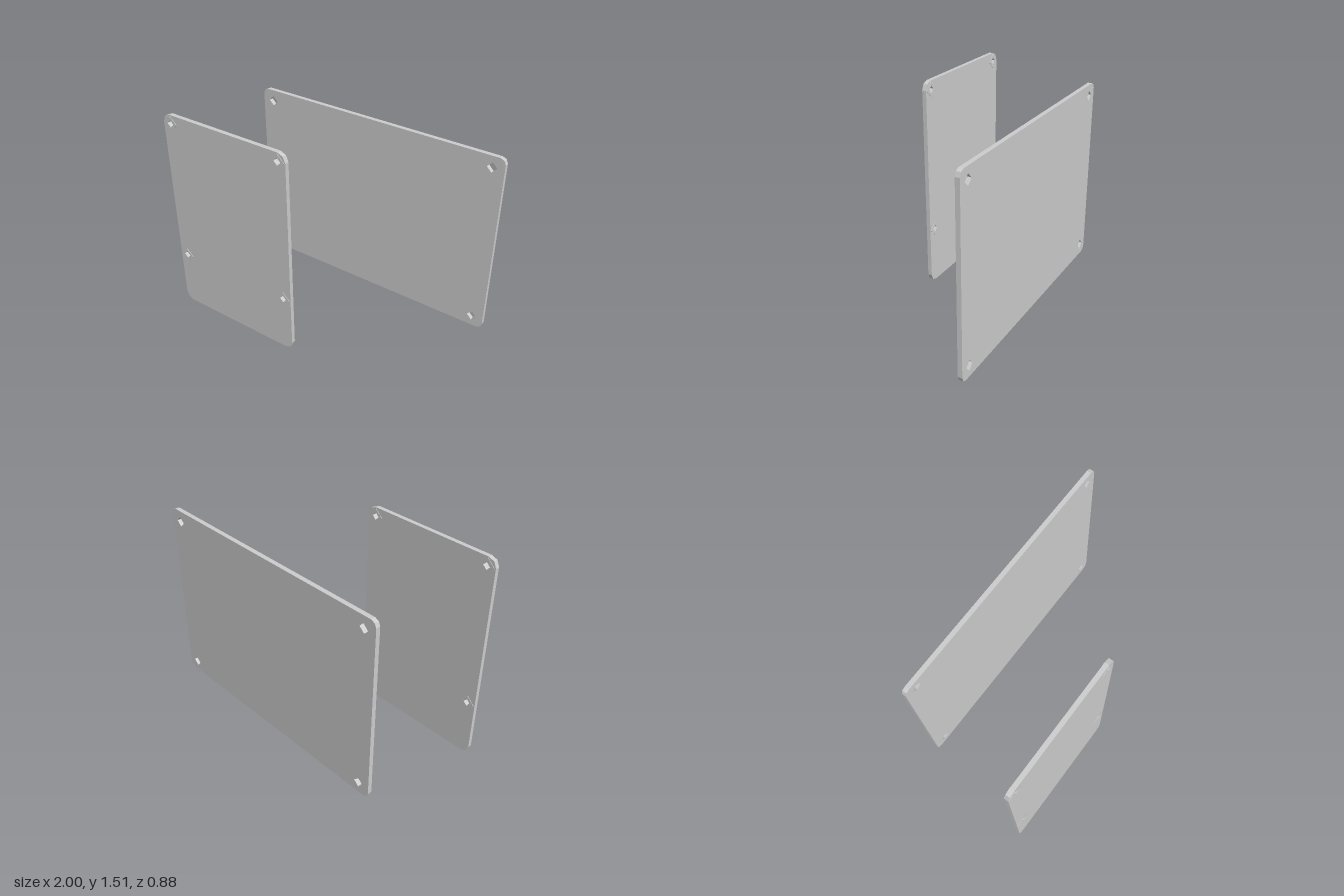
import * as THREE from 'three';

const material = new THREE.MeshStandardMaterial({ color: 0xcccccc, flatShading: true });

// Four-sided outline standing on its corner
function diamond(Type, x, y, r) {
  const path = new Type();
  path.moveTo(x + r, y);
  path.lineTo(x, y + r);
  path.lineTo(x - r, y);
  path.lineTo(x, y - r);
  path.closePath();
  return path;
}

// Rectangle with corners rounded in two facets
function roundedRect(x0, y0, x1, y1, r) {
  const corners = [[x1 - r, y0 + r, -1], [x1 - r, y1 - r, 0], [x0 + r, y1 - r, 1], [x0 + r, y0 + r, 2]];
  const points = [];
  for (const [cx, cy, q] of corners) {
    for (let i = 0; i <= 2; i++) {
      const a = (q + i / 2) * Math.PI / 2;
      points.push(new THREE.Vector2(cx + r * Math.cos(a), cy + r * Math.sin(a)));
    }
  }
  return new THREE.Shape(points);
}

// Flat part of a given outline between two depths, pierced by diamond holes
function slab(name, shape, holes, holeRadius, z0, z1) {
  for (const [x, y] of holes) shape.holes.push(diamond(THREE.Path, x, y, holeRadius));
  const geometry = new THREE.ExtrudeGeometry(shape, { depth: z1 - z0, bevelEnabled: false });
  geometry.translate(0, 0, z0);
  const mesh = new THREE.Mesh(geometry, material);
  mesh.name = name;
  return mesh;
}

export function createModel() {
  const group = new THREE.Group();
  group.name = 'mountingPlates';

  // Tall front plate
  const frontHoles = [[-0.94, 1.453], [-0.067, 1.453], [-0.94, 0.42], [-0.067, 0.42]];
  group.add(slab('frontPlate', roundedRect(-1, 0, -0.007, 1.514, 0.057), frontHoles, 0.026, 0.407, 0.437));

  // Thin diamond pads around the front holes, just proud of both faces
  for (const [x, y] of frontHoles) {
    group.add(slab('holePad', diamond(THREE.Shape, x, y, 0.054), [[x, y]], 0.026, 0.404, 0.44));
  }

  // Wide back plate
  const backHoles = [[-0.782, 1.344], [0.917, 1.344], [-0.782, 0.172], [0.917, 0.172]];
  group.add(slab('backPlate', roundedRect(-0.866, 0.093, 1, 1.424, 0.04), backHoles, 0.036, -0.44, -0.409));

  return group;
}
